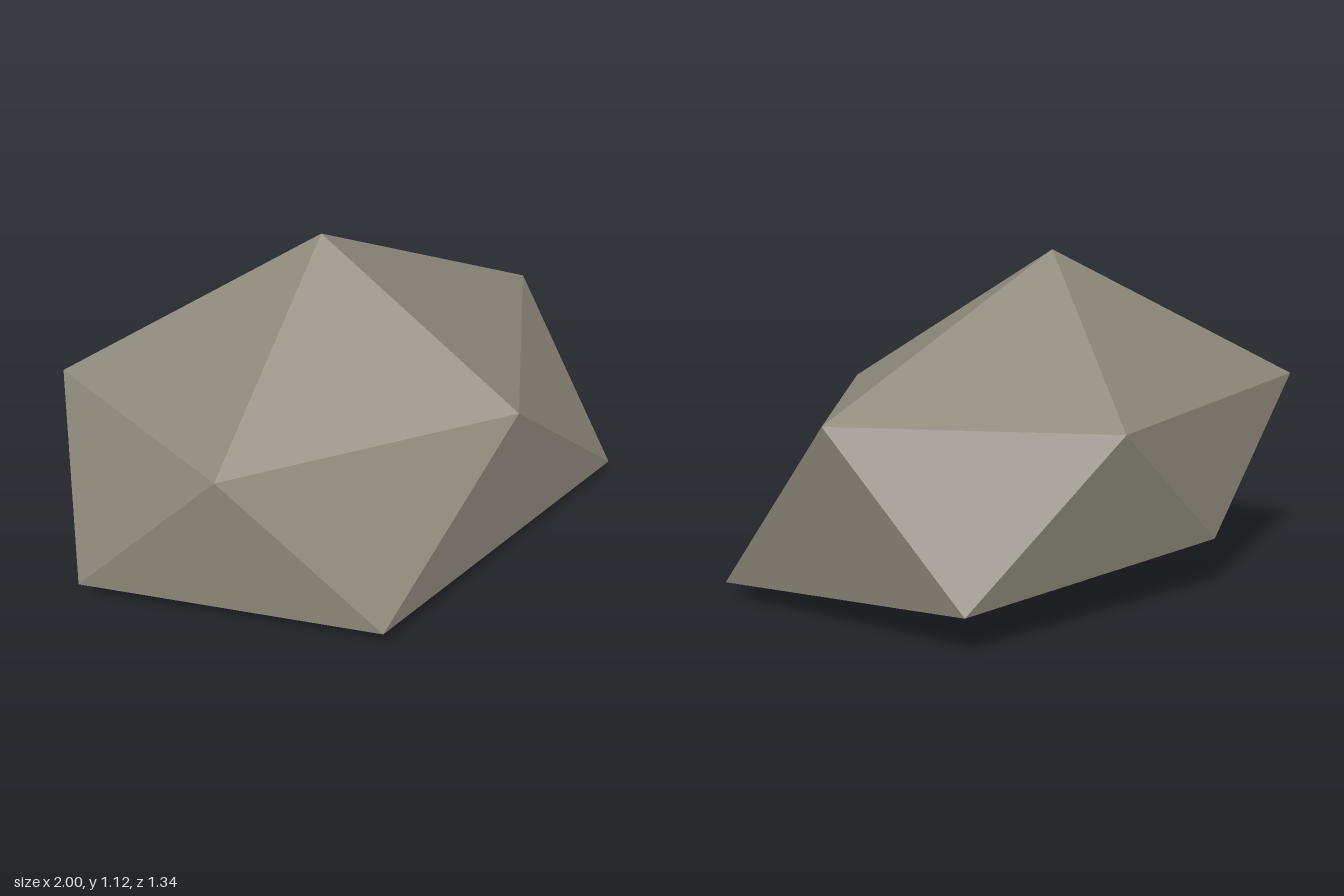
import * as THREE from 'three';

// Low-poly boulder: an uneven icosahedron made from two staggered rings and two poles
export function createModel() {
  const group = new THREE.Group();
  group.name = 'boulder';

  const stone = new THREE.MeshStandardMaterial({ color: 0x8a8578 });
  stone.name = 'warm grey stone';
  stone.flatShading = true;

  const top = [0.02, 1.12, -0.12];
  const bottom = [0.02, 0, -0.12];
  // Rings run counterclockwise seen from above
  const upper = [
    [-0.67, 0.62, 0.26], [0.32, 0.65, 0.57], [0.985, 0.65, -0.12],
    [0.265, 0.6, -0.67], [-0.77, 0.66, -0.55],
  ];
  const lower = [
    [-0.31, 0.09, 0.665], [1, 0.06, 0.41], [0.81, 0.125, -0.54],
    [-0.2, 0.18, -0.66], [-1, 0.11, -0.12],
  ];

  // Cap, zigzag side band and underside
  const corners = [];
  for (let i = 0; i < 5; i++) {
    const j = (i + 1) % 5;
    corners.push(
      top, upper[i], upper[j],
      upper[i], lower[i], upper[j],
      lower[i], lower[j], upper[j],
      bottom, lower[j], lower[i],
    );
  }

  const geometry = new THREE.BufferGeometry();
  geometry.setAttribute('position', new THREE.Float32BufferAttribute(corners.flat(), 3));
  geometry.computeVertexNormals();

  const rock = new THREE.Mesh(geometry, stone);
  rock.name = 'rock';
  group.add(rock);
  return group;
}
